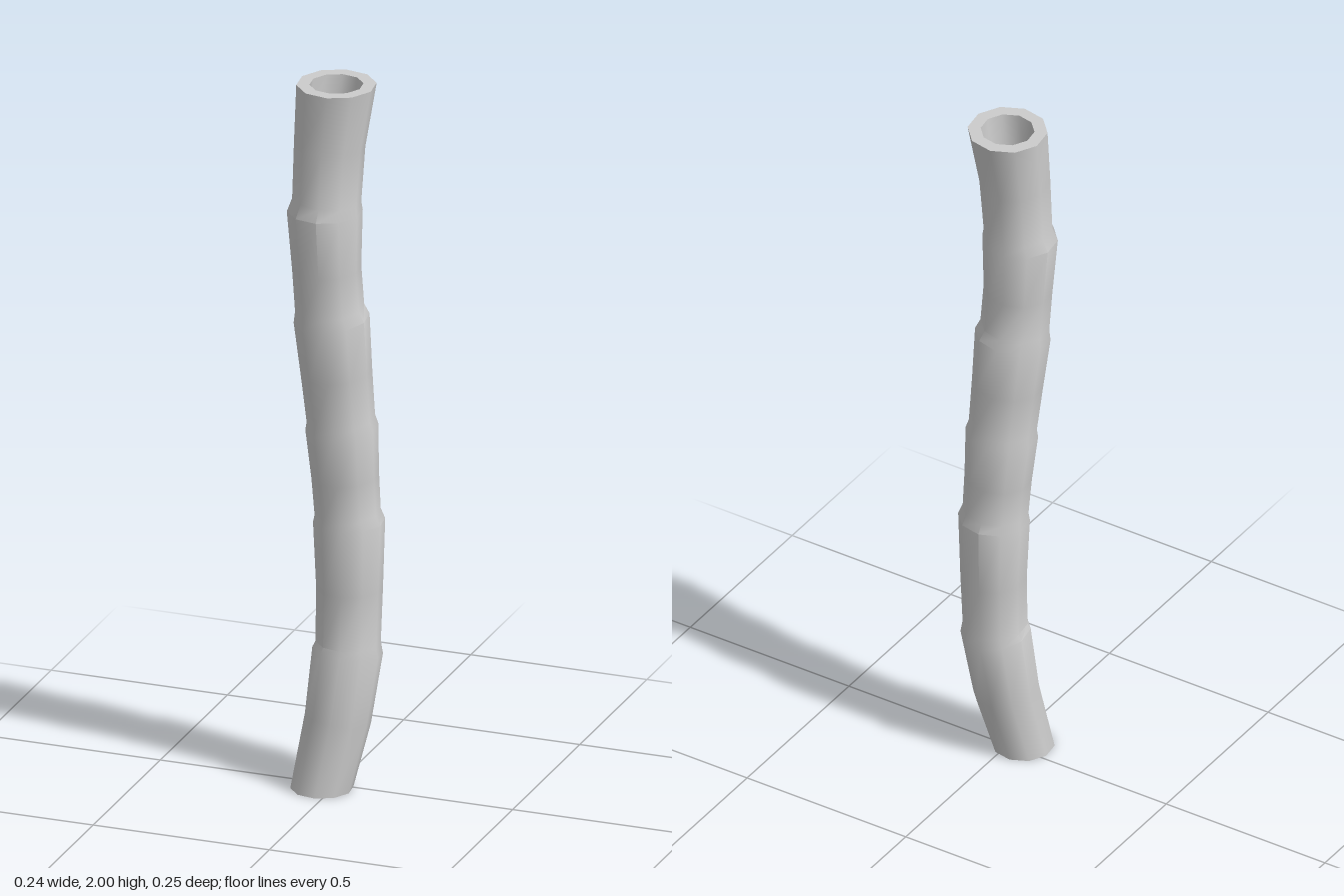
import * as THREE from 'three';
import { toCreasedNormals } from 'three/addons/utils/BufferGeometryUtils.js';

const SIDES = 10;
const PHASE = 0.19;

// Joins rings [height, lean, radius, tilt] from start to end.
// The stalk bends in one diagonal plane: x = lean, z = -lean.
function loft(rings) {
  const pos = [], index = [];
  for (const [y, lean, r, tilt = 0] of rings) {
    for (let i = 0; i < SIDES; i++) {
      const a = PHASE + (i / SIDES) * Math.PI * 2;
      const dx = r * Math.cos(a), dz = r * Math.sin(a);
      pos.push(lean + dx, y - tilt * (dx - dz), -lean + dz);
    }
  }
  for (let k = 0; k < rings.length - 1; k++) {
    for (let i = 0; i < SIDES; i++) {
      const j = (i + 1) % SIDES;
      const a = k * SIDES + i, b = k * SIDES + j, c = a + SIDES, d = b + SIDES;
      if (rings[k][2] > 0) index.push(a, c, b);
      if (rings[k + 1][2] > 0) index.push(b, c, d);
    }
  }
  const geometry = new THREE.BufferGeometry();
  geometry.setAttribute('position', new THREE.Float32BufferAttribute(pos, 3));
  geometry.setIndex(index);
  return toCreasedNormals(geometry, 0.72);
}

export function createModel() {
  const group = new THREE.Group();
  group.name = 'hollowStalk';
  const material = new THREE.MeshStandardMaterial({ color: 0xcccccc });

  // Outer skin: each section swells to a node, then steps in
  const skin = [
    [0, -0.030, 0.084],
    [0.19, 0.003, 0.088],
    [0.38, 0.023, 0.094],
    [0.405, 0.024, 0.087],
    [0.56, 0.027, 0.089],
    [0.75, 0.026, 0.096],
    [0.775, 0.023, 0.088],
    [0.88, 0.018, 0.090],
    [1.02, 0.011, 0.097],
    [1.045, 0.009, 0.091],
    [1.18, 0.000, 0.095],
    [1.335, -0.010, 0.101],
    [1.365, -0.014, 0.092],
    [1.48, -0.020, 0.092],
    [1.645, -0.024, 0.101],
    [1.675, -0.020, 0.092],
    [1.83, -0.014, 0.095],
    [2, 0, 0.107],
  ];
  // Tilt the rings to follow the bend; the two ends stay level
  const tilted = skin.map(([y, lean, r], k) => {
    if (k === 0 || k === skin.length - 1) return [y, lean, r];
    const [y0, l0] = skin[k - 1], [y1, l1] = skin[k + 1];
    return [y, lean, r, (l1 - l0) / (y1 - y0)];
  });
  const stalk = new THREE.Mesh(loft([[0, -0.030, 0], ...tilted]), material);
  stalk.name = 'stalk';

  // Cut end: flat rim, hollow and floor
  const hollow = new THREE.Mesh(loft([
    [2, 0, 0.107],
    [2, 0, 0.072],
    [1.83, -0.014, 0.070],
    [1.83, -0.014, 0],
  ]), material);
  hollow.name = 'hollowEnd';

  group.add(stalk, hollow);
  return group;
}
